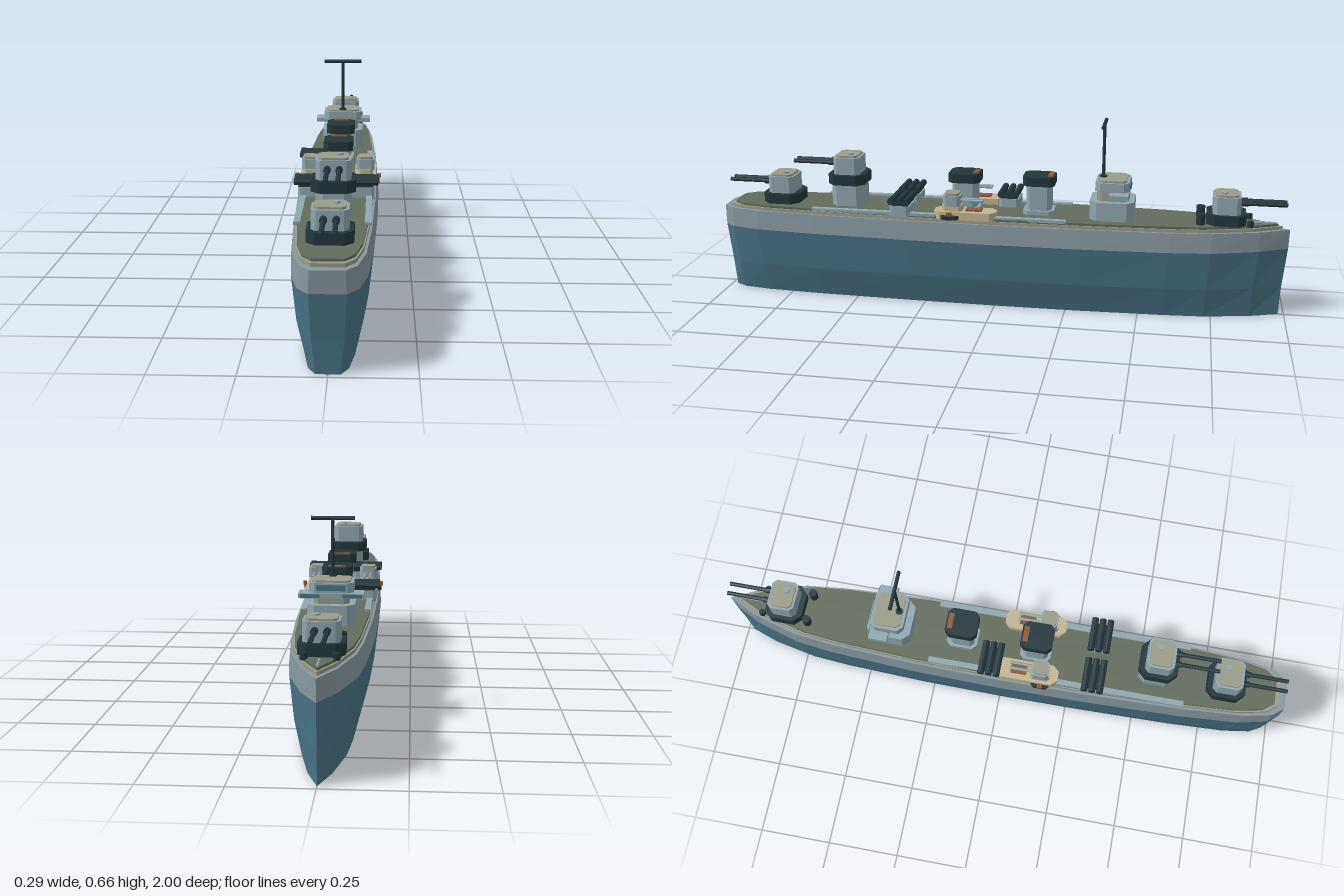
import * as THREE from 'three';

const mat = (name, color) => new THREE.MeshStandardMaterial({ name, color, flatShading: true });

// Prism lofted from a counter-clockwise [x, z] ring through levels of [y, scaleX, scaleZ]
function loft(ring, levels) {
  const pos = [], n = ring.length;
  const at = (l, i) => [ring[i % n][0] * l[1], l[0], ring[i % n][1] * l[2]];
  for (let k = 0; k + 1 < levels.length; k++) {
    for (let i = 0; i < n; i++) {
      const a = at(levels[k], i), b = at(levels[k], i + 1);
      const c = at(levels[k + 1], i + 1), d = at(levels[k + 1], i);
      pos.push(...a, ...b, ...c, ...a, ...c, ...d);
    }
  }
  const lo = levels[0], hi = levels[levels.length - 1];
  for (let i = 0; i < n; i++) {
    pos.push(0, hi[0], 0, ...at(hi, i), ...at(hi, i + 1));
    pos.push(0, lo[0], 0, ...at(lo, i + 1), ...at(lo, i));
  }
  const g = new THREE.BufferGeometry();
  g.setAttribute('position', new THREE.Float32BufferAttribute(pos, 3));
  g.computeVertexNormals();
  return g;
}

// Rectangle with cut corners, half sizes w and d, cut c
const octagon = (w, d, c) => [
  [w - c, d], [w, d - c], [w, c - d], [w - c, -d],
  [c - w, -d], [-w, c - d], [-w, d - c], [c - w, d],
];

export function createModel() {
  const ship = new THREE.Group();
  ship.name = 'warship';
  const M = {
    hull: mat('lowerHullBlue', 0x4a7486),
    band: mat('upperHullGrey', 0x87979f),
    light: mat('superstructureGrey', 0x90a6ae),
    dark: mat('darkSteel', 0x24363c),
    deck: mat('deckOlive', 0x636c5e),
    cream: mat('platformCream', 0xc0b592),
    roof: mat('roofStone', 0x9a9b8a),
    rust: mat('rustBrown', 0x8a5a38),
  };
  const add = (parent, name, geo, m, x = 0, y = 0, z = 0) => {
    const mesh = new THREE.Mesh(geo, m);
    mesh.name = name;
    mesh.position.set(x, y, z);
    parent.add(mesh);
    return mesh;
  };
  const group = (name, x, y, z) => {
    const g = new THREE.Group();
    g.name = name;
    g.position.set(x, y, z);
    ship.add(g);
    return g;
  };
  // Cut-corner block from y0 to y1
  const block = (p, name, m, w, d, c, y0, y1, z = 0, x = 0) =>
    add(p, name, loft(octagon(w, d, c), [[y0, 1, 1], [y1, 1, 1]]), m, x, 0, z);
  const box = (p, name, m, w, h, d, x, y, z) =>
    add(p, name, new THREE.BoxGeometry(w, h, d), m, x, y, z);
  // Cylinder along axis 'x', 'y' or 'z'
  const rod = (p, name, m, r, len, axis, x, y, z, sides = 8) => {
    const g = new THREE.CylinderGeometry(r, r, len, sides);
    if (axis === 'x') g.rotateZ(Math.PI / 2);
    if (axis === 'z') g.rotateX(Math.PI / 2);
    return add(p, name, g, m, x, y, z);
  };

  // Hull: blunt stern at +z, pointed bow at -z
  const half = [[0.052, 1], [0.085, 0.96], [0.108, 0.86], [0.123, 0.65], [0.134, 0.3], [0.137, 0],
    [0.132, -0.3], [0.116, -0.6], [0.1, -0.74], [0.052, -0.9]];
  const ring = [...half, [0, -1], ...half.slice().reverse().map(([x, z]) => [-x, z])];
  add(ship, 'lowerHull', loft(ring, [[0, 0.67, 0.98], [0.105, 0.88, 0.985], [0.24, 1, 0.998]]), M.hull);
  add(ship, 'upperHull', loft(ring, [[0.24, 1, 0.998], [0.308, 0.95, 1]]), M.band);
  add(ship, 'deckRim', loft(ring, [[0.305, 0.89, 0.975], [0.319, 0.89, 0.975]]), M.roof);
  add(ship, 'deck', loft(ring, [[0.31, 0.86, 0.96], [0.327, 0.86, 0.96]]), M.deck);
  for (const s of [-1, 1]) box(ship, 'deckStrip', M.light, 0.02, 0.01, 0.9, s * 0.106, 0.328, 0.2);

  // Main twin-gun turrets; dir is the way the barrels point along z
  const turret = (name, z, y, dir) => {
    const g = group(name, 0, y, z);
    block(g, 'turretRing', M.dark, 0.068, 0.066, 0.026, 0, 0.036);
    block(g, 'gunHouse', M.light, 0.054, 0.047, 0.014, 0.036, 0.096);
    block(g, 'gunHouseRoof', M.roof, 0.046, 0.039, 0.012, 0.096, 0.103);
    rod(g, 'roofHatch', M.light, 0.012, 0.006, 'y', 0.018, 0.105, -dir * 0.01);
    for (const s of [-1, 1]) {
      rod(g, 'gunSleeve', M.dark, 0.011, 0.03, 'z', s * 0.018, 0.071, dir * 0.055);
      rod(g, 'gunBarrel', M.dark, 0.0075, 0.16, 'z', s * 0.018, 0.071, dir * 0.12);
    }
  };
  turret('sternTurret', 0.785, 0.327, 1);
  block(ship, 'barbette', M.light, 0.054, 0.058, 0.022, 0.32, 0.408, 0.54);
  turret('raisedTurret', 0.54, 0.406, 1);
  turret('bowTurret', -0.785, 0.327, -1);

  // Deck bollards beside the bow turret
  for (const s of [-1, 1]) {
    rod(ship, 'bollard', M.dark, 0.015, 0.04, 'y', s * 0.05, 0.344, -0.7);
    rod(ship, 'chock', M.dark, 0.011, 0.02, 'y', s * 0.045, 0.334, -0.865);
  }
  rod(ship, 'bowRail', M.light, 0.004, 0.08, 'z', 0, 0.329, -0.915, 6);

  // Bridge with wings, windows and roof
  const bridge = group('bridge', 0, 0, -0.4);
  block(bridge, 'bridgeBase', M.light, 0.075, 0.076, 0.024, 0.32, 0.392);
  block(bridge, 'bridgeMiddle', M.roof, 0.056, 0.052, 0.016, 0.392, 0.43);
  box(bridge, 'bridgeWings', M.light, 0.204, 0.015, 0.065, 0, 0.418, -0.025);
  block(bridge, 'bridgeTop', M.light, 0.07, 0.058, 0.018, 0.428, 0.459);
  block(bridge, 'bridgeRoof', M.roof, 0.06, 0.048, 0.014, 0.459, 0.465);
  box(bridge, 'bridgeWindow', M.hull, 0.09, 0.018, 0.006, 0, 0.444, -0.058);
  for (const s of [-1, 1]) box(bridge, 'wingScreen', M.hull, 0.06, 0.012, 0.004, s * 0.066, 0.418, -0.058);

  // Mast
  const mast = group('mast', 0, 0, -0.365);
  rod(mast, 'mastPole', M.dark, 0.0055, 0.19, 'y', 0, 0.558, 0);
  rod(mast, 'mastFoot', M.dark, 0.013, 0.006, 'y', 0, 0.467, 0);
  rod(mast, 'mastYard', M.dark, 0.0065, 0.138, 'x', 0, 0.65, 0);

  // Funnels with dark caps
  for (const z of [-0.145, 0.117]) {
    const g = group('funnel', 0, 0, z);
    block(g, 'funnelBase', M.light, 0.046, 0.054, 0.016, 0.32, 0.342);
    block(g, 'funnelBody', M.light, 0.038, 0.043, 0.013, 0.342, 0.432);
    block(g, 'funnelCap', M.dark, 0.049, 0.055, 0.016, 0.43, 0.462);
    box(g, 'funnelVent', M.rust, 0.056, 0.006, 0.018, 0, 0.463, -0.04);
  }

  // Triple tube launchers lying across the deck
  for (const [x, z] of [[0.075, 0.33], [-0.075, 0.33], [-0.079, -0.03]]) {
    const g = group('tubeLauncher', x, 0, z);
    block(g, 'launcherBase', M.light, 0.048, 0.036, 0.01, 0.32, 0.358);
    box(g, 'launcherCradle', M.dark, 0.09, 0.01, 0.06, 0, 0.363, 0);
    for (const i of [-1, 0, 1]) rod(g, 'launchTube', M.dark, 0.0115, 0.12, 'x', 0, 0.376, i * 0.027);
  }

  // Side guns on cream platforms
  for (const s of [-1, 1]) {
    const g = group('sideGun', s * 0.092, 0, 0.1);
    block(g, 'gunPlatform', M.cream, 0.036, 0.108, 0.02, 0.32, 0.348);
    block(g, 'gunRing', M.dark, 0.042, 0.036, 0.016, 0.322, 0.336, 0.05, s * 0.006);
    block(g, 'gunPedestal', M.cream, 0.026, 0.035, 0.01, 0.348, 0.37, 0.045);
    block(g, 'gunHouse', M.light, 0.03, 0.03, 0.01, 0.366, 0.403, 0.045);
    block(g, 'gunHouseRoof', M.roof, 0.025, 0.025, 0.008, 0.403, 0.411, 0.045);
    box(g, 'gunDeckPlate', M.rust, 0.032, 0.008, 0.055, 0, 0.35, -0.03);
    box(g, 'sideBracket', M.rust, 0.012, 0.012, 0.016, s * 0.047, 0.343, 0.05);
    for (const t of [-1, 1]) rod(g, 'smallBarrel', M.light, 0.005, 0.085, 'z', t * 0.01, 0.384, -0.02, 6);
  }
  return ship;
}
